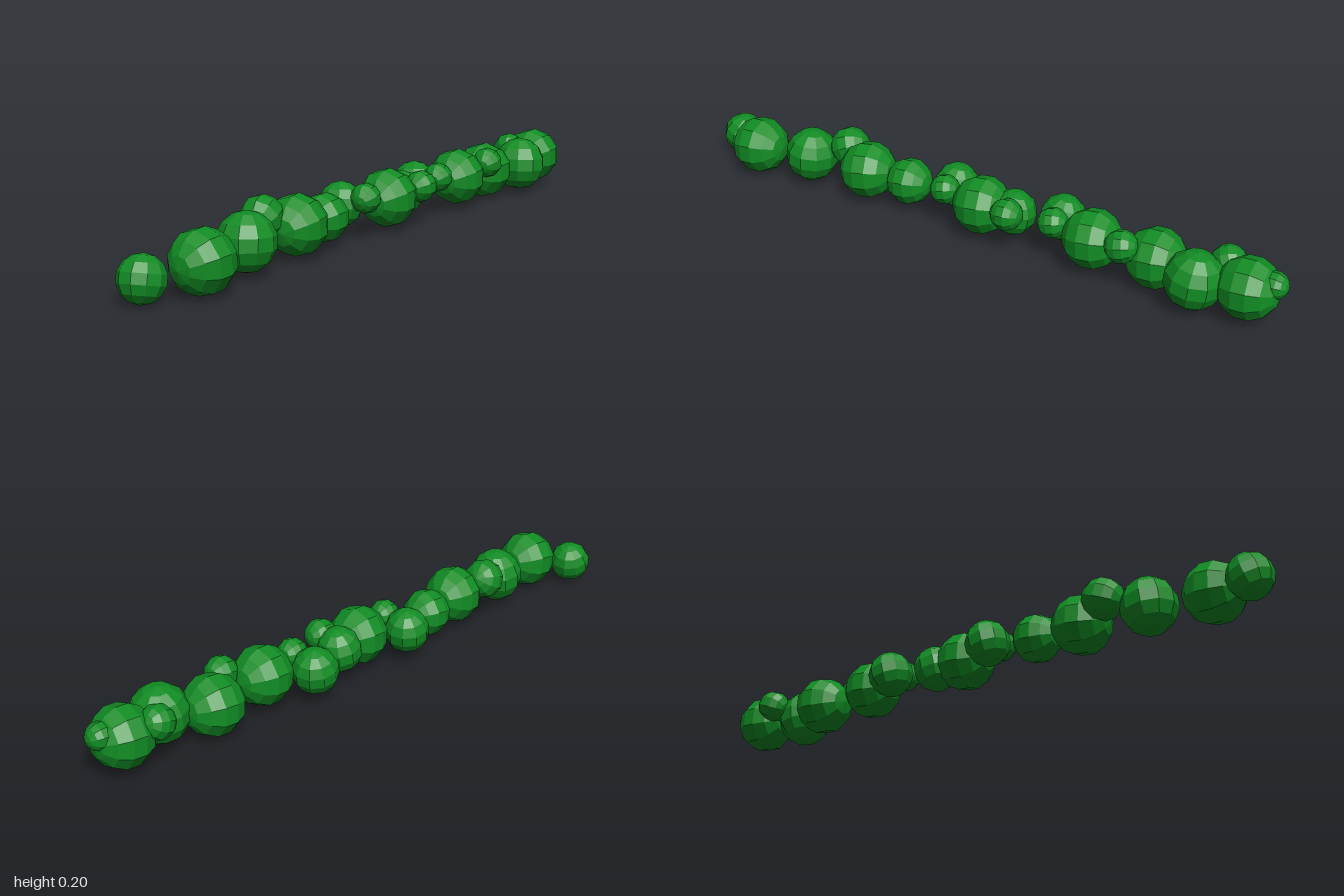
import * as THREE from 'three';

// Beads along the strand: x, y, z, radius, then pole tilt about y and z
const BEADS = [
  [-0.935, 0.070, -0.035, 0.067, 0.4, 0.3],
  [-0.795, 0.098, 0.042, 0.092, 0.0, 1.5],
  [-0.603, 0.105, 0.016, 0.086, 0.5, 0.1],
  [-0.485, 0.143, -0.035, 0.064, 0.3, 1.2],
  [-0.385, 0.107, 0.007, 0.091, 0.2, 1.5],
  [-0.242, 0.097, -0.013, 0.074, 0.0, 1.5],
  [-0.100, 0.103, -0.066, 0.070, 0.6, 0.2],
  [-0.088, 0.130, 0.020, 0.047, 0.2, 1.4],
  [0.037, 0.108, 0.007, 0.091, 0.1, 1.5],
  [0.135, 0.102, -0.015, 0.071, 0.2, 0.2],
  [0.148, 0.130, 0.052, 0.050, 0.0, 1.5],
  [0.275, 0.103, -0.066, 0.071, 0.6, 0.2],
  [0.287, 0.130, 0.020, 0.047, 0.2, 1.4],
  [0.412, 0.110, 0.007, 0.091, 0.1, 1.5],
  [0.524, 0.143, 0.052, 0.050, 0.2, 1.4],
  [0.605, 0.098, -0.013, 0.092, 0.0, 1.5],
  [0.745, 0.104, 0.042, 0.088, 0.5, 0.1],
  [0.810, 0.138, -0.042, 0.052, 0.3, 1.2],
  [0.890, 0.108, 0.007, 0.092, 0.0, 1.5],
  [0.960, 0.138, 0.003, 0.041, 0.0, 1.57],
];

export function createModel() {
  const model = new THREE.Group();
  model.name = 'beadStrand';
  const green = new THREE.MeshStandardMaterial({ color: 0x118c24 });
  green.name = 'leaf green';
  green.flatShading = true;

  // Faceted ball shared by every bead
  const ball = new THREE.SphereGeometry(1, 10, 7).toNonIndexed();
  ball.computeVertexNormals();

  BEADS.forEach(([x, y, z, r, turn, tilt], i) => {
    const bead = new THREE.Mesh(ball, green);
    bead.name = `bead${i + 1}`;
    bead.position.set(x, y, z);
    bead.rotation.set(0, turn, -tilt);
    bead.scale.setScalar(r);
    model.add(bead);
  });
  return model;
}
